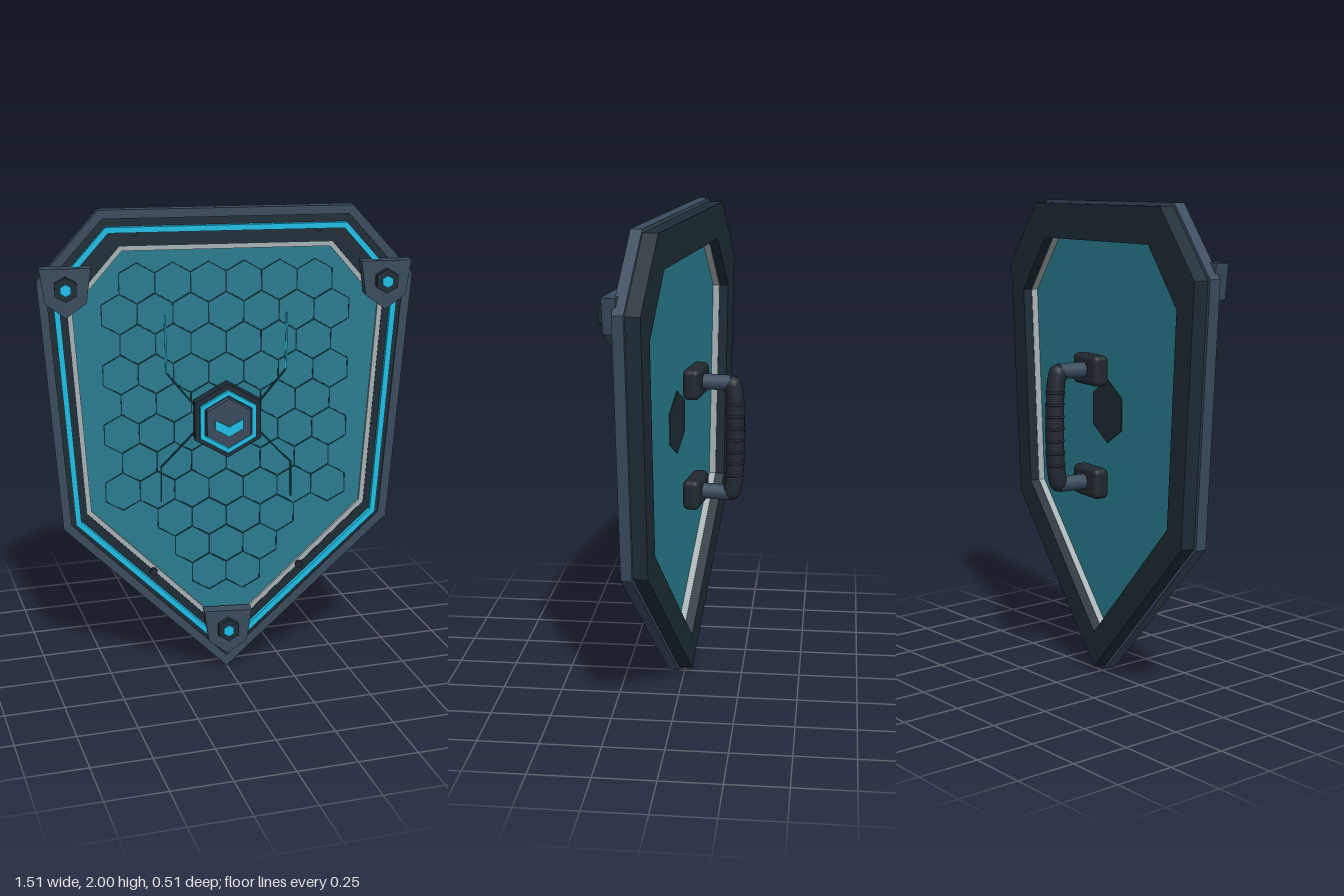
import * as THREE from 'three';
import { RoundedBoxGeometry } from 'three/addons/geometries/RoundedBoxGeometry.js';

const mat = (name, color) => {
  const m = new THREE.MeshStandardMaterial({ color });
  m.name = name;
  return m;
};

// Mirrors a half profile (x > 0, listed top to bottom) and closes it at a bottom tip.
const mirrored = (half, tipY) => [
  ...half, [0, tipY], ...half.slice().reverse().map(([x, y]) => [-x, y]),
];

// Moves every edge of a clockwise convex outline inward by d.
function inset(pts, d) {
  const n = pts.length;
  const normal = (s, e) => new THREE.Vector2(e[1] - s[1], s[0] - e[0]).normalize();
  return pts.map((p, i) => {
    const n1 = normal(pts[(i + n - 1) % n], p), n2 = normal(p, pts[(i + 1) % n]);
    const k = d / (1 + n1.dot(n2));
    return [p[0] + (n1.x + n2.x) * k, p[1] + (n1.y + n2.y) * k];
  });
}

const hexagon = (r, cx = 0, cy = 0) => Array.from({ length: 6 }, (_, i) => {
  const a = Math.PI / 2 - i * Math.PI / 3;
  return [cx + r * Math.cos(a), cy + r * Math.sin(a)];
});

// Flat slab between depths z0 and z1; the hole runs opposite to the outline so its walls face inward.
function slab(outer, hole, z0, z1) {
  const v = (p) => p.map(([x, y]) => new THREE.Vector2(x, y));
  const s = new THREE.Shape(v(outer));
  if (hole) s.holes.push(new THREE.Path(v(hole).reverse()));
  return new THREE.ExtrudeGeometry(s, { depth: z1 - z0, bevelEnabled: false }).translate(0, 0, z0);
}

export function createModel() {
  const slate = mat('slate metal', 0x3a4a5d);
  const dark = mat('dark metal', 0x1e2b35);
  const cyan = mat('glowing cyan', 0x1cbfe8);
  const silver = mat('silver trim', 0xa6b1b4);
  const glass = mat('teal panel', 0x287c8f);
  const etch = mat('etched line', 0x0d323e);
  const trace = mat('bright trace', 0x1f9cc0);
  const rubber = mat('grip rubber', 0x20282f);

  const shield = new THREE.Group();
  shield.name = 'shield';
  const add = (name, geo, material, parent = shield) => {
    const m = new THREE.Mesh(geo, material);
    m.name = name;
    parent.add(m);
    return m;
  };

  // Frame layers
  const outline = mirrored([[0.51, 2], [0.76, 1.72], [0.685, 0.67]], 0);
  const opening = mirrored([[0.42, 1.835], [0.622, 1.6], [0.567, 0.74]], 0.18);
  const stripLine = mirrored([[0.508, 1.99], [0.757, 1.71], [0.688, 0.668]], 0);
  const trimOuter = inset(opening, -0.019);
  add('outerRim', slab(outline, inset(outline, 0.035), 0.025, 0.071), slate);
  add('backFrame', slab(inset(outline, 0.014), inset(opening, -0.003), -0.035, 0.005), dark);
  add('midFrame', slab(inset(outline, 0.014), trimOuter, 0.005, 0.026), dark);
  add('frontFrame', slab(inset(outline, 0.034), trimOuter, 0.026, 0.064), dark);
  add('lightStrip', slab(inset(stripLine, 0.056), inset(stripLine, 0.079), 0.06, 0.087), cyan);
  add('innerTrim', slab(trimOuter, opening, 0.005, 0.062), silver);
  add('panel', slab(inset(opening, -0.005), null, 0.033, 0.049), glass);

  // Honeycomb lines
  const w = 0.1445, r = w / Math.sqrt(3);
  const counts = [6, 7, 6, 7, 6, 7, 6, 7, 4, 3, 2];
  const comb = new THREE.Group();
  comb.name = 'honeycomb';
  shield.add(comb);
  counts.forEach((n, row) => {
    for (let i = 0; i < n; i++) {
      const x = (i - (n - 1) / 2) * w, y = 1.70 - row * 0.126;
      add('cell', slab(hexagon(r + 0.002, x, y), hexagon(r - 0.003, x, y), 0.048, 0.051), etch, comb);
    }
  });

  // Circuit traces running out from the emblem
  const traces = [
    [[0.25, 1.565], [0.247, 1.325], trace],
    [[0.247, 1.325], [0.13, 1.18], etch],
    [[0.13, 1.07], [0.273, 0.92], etch],
    [[0.273, 0.92], [0.275, 0.77], etch],
  ];
  for (const side of [-1, 1]) {
    for (const [a, b, material] of traces) {
      const dx = b[0] - a[0], dy = b[1] - a[1];
      const bar = add('circuitTrace', new THREE.BoxGeometry(Math.hypot(dx, dy), 0.007, 0.006), material);
      bar.position.set(side * (a[0] + b[0]) / 2, (a[1] + b[1]) / 2, 0.052);
      bar.rotation.z = Math.atan2(dy, side * dx);
    }
  }

  // Central emblem
  const emblem = new THREE.Group();
  emblem.name = 'emblem';
  emblem.position.y = 1.127;
  shield.add(emblem);
  add('emblemBack', slab(hexagon(0.135), null, 0.029, 0.045), dark, emblem);
  add('emblemBase', slab(hexagon(0.158), null, 0.045, 0.105), dark, emblem);
  add('emblemRing', slab(hexagon(0.134), hexagon(0.113), 0.1, 0.122), cyan, emblem);
  add('emblemCore', slab(hexagon(0.104), null, 0.1, 0.14), slate, emblem);
  add('chevron', slab([[-0.058, 0.018], [0, -0.014], [0.058, 0.018], [0.058, -0.022],
    [0, -0.056], [-0.058, -0.022]], null, 0.138, 0.147), cyan, emblem);

  // Corner brackets with hex bolts
  const plate = mirrored([[0.102, 0.08], [0.082, -0.06]], -0.12);
  for (const [x, y] of [[-0.647, 1.7], [0.642, 1.7], [0, 0.2]]) {
    const bracket = new THREE.Group();
    bracket.name = 'cornerBracket';
    bracket.position.set(x, y, 0);
    shield.add(bracket);
    add('bracketPlate', slab(plate, null, 0.06, 0.115), slate, bracket);
    add('bolt', slab(hexagon(0.05), null, 0.115, 0.143), dark, bracket);
    add('boltLight', slab(hexagon(0.025), null, 0.14, 0.151), cyan, bracket);
  }

  // Small rivets on the frame
  for (const [x, y] of [[0.37, 1.912], [0.312, 0.46]]) {
    for (const s of [-1, 1]) {
      add('rivet', new THREE.CylinderGeometry(0.016, 0.016, 0.02, 10).rotateX(Math.PI / 2), dark)
        .position.set(s * x, y, 0.068);
    }
  }

  // Rear handle
  const handle = new THREE.Group();
  handle.name = 'handle';
  shield.add(handle);
  for (const y of [1.31, 0.838]) {
    add('mount', new RoundedBoxGeometry(0.19, 0.128, 0.07, 3, 0.022), rubber, handle)
      .position.set(0, y, -0.05);
    add('standoff', new THREE.CylinderGeometry(0.033, 0.033, 0.12, 16).rotateX(Math.PI / 2), slate, handle)
      .position.set(0, y, -0.14);
  }
  const grip = new THREE.CatmullRomCurve3([[1.302, -0.205], [1.25, -0.215], [1.074, -0.22], [0.898, -0.215], [0.846, -0.205]]
    .map(([y, z]) => new THREE.Vector3(0, y, z)));
  add('grip', new THREE.TubeGeometry(grip, 24, 0.038, 16), rubber, handle);
  for (const t of [0, 1]) {
    add('gripEnd', new THREE.SphereGeometry(0.038, 16, 10), rubber, handle).position.copy(grip.getPoint(t));
  }
  for (let i = 0; i < 7; i++) {
    const ring = add('gripRing', new THREE.TorusGeometry(0.036, 0.006, 6, 18), rubber, handle);
    ring.rotation.x = Math.PI / 2;
    ring.position.copy(grip.getPointAt(0.17 + i * 0.11));
  }

  // The whole shield is turned slightly to its side
  shield.rotation.y = -0.157;
  shield.position.x = 0.01;
  const model = new THREE.Group();
  model.name = 'model';
  model.add(shield);
  return model;
}
